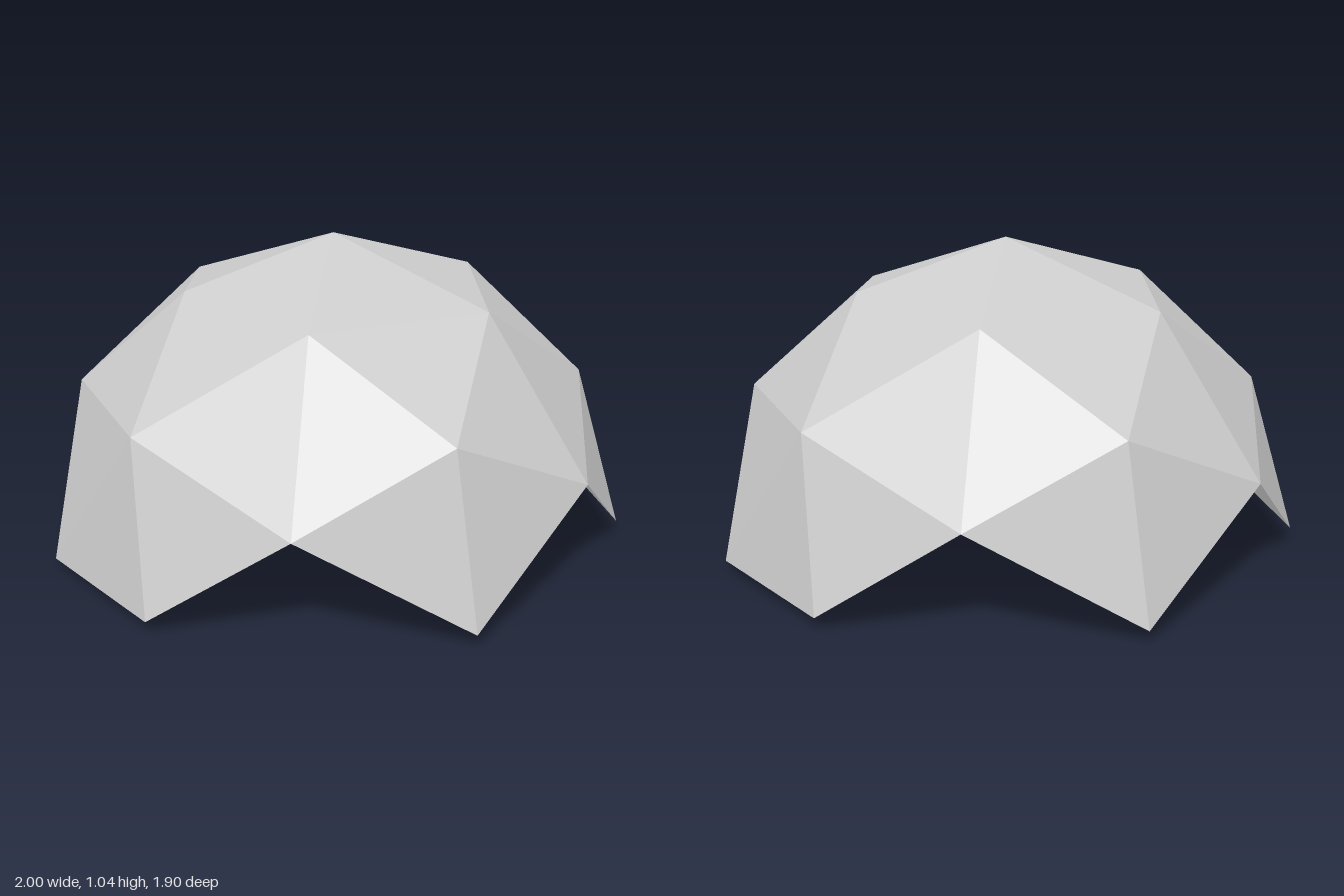
import * as THREE from 'three';

const BASE = 0.04; // height of the dome's rim
const TURN = Math.atan2(0.5257, 0.8507); // puts a rim corner on the x axis

const grey = new THREE.MeshStandardMaterial({
  color: 0xcccccc, side: THREE.DoubleSide, flatShading: true,
});
grey.name = 'plain grey';

// Upper half of a two-frequency geodesic sphere: triangles that dip
// below the equator are left out, which opens four arches in the rim.
function domeGeometry() {
  const pos = new THREE.IcosahedronGeometry(1, 1).getAttribute('position');
  const kept = [];
  for (let i = 0; i < pos.count; i += 3) {
    const corners = [i, i + 1, i + 2].map((k) => new THREE.Vector3().fromBufferAttribute(pos, k));
    if (corners.every((c) => c.y > -1e-4)) corners.forEach((c) => kept.push(c.x, c.y, c.z));
  }
  const geometry = new THREE.BufferGeometry();
  geometry.setAttribute('position', new THREE.Float32BufferAttribute(kept, 3));
  geometry.rotateY(TURN);
  geometry.computeVertexNormals();
  return geometry;
}

function addPart(group, name, geometry, y) {
  const mesh = new THREE.Mesh(geometry, grey);
  mesh.name = name;
  mesh.position.y = y;
  group.add(mesh);
}

export function createModel() {
  const model = new THREE.Group();
  model.name = 'geodesicDome';

  addPart(model, 'domeShell', domeGeometry(), BASE);

  // Small thin disc at the centre of the floor
  addPart(model, 'centreDisc', new THREE.CylinderGeometry(0.148, 0.148, 0.012, 24), BASE + 0.004);

  // Square ground plate under the disc
  const plate = new THREE.PlaneGeometry(0.255, 0.255).rotateX(Math.PI / 2).rotateY(-TURN);
  addPart(model, 'groundPlate', plate, 0);

  return model;
}
